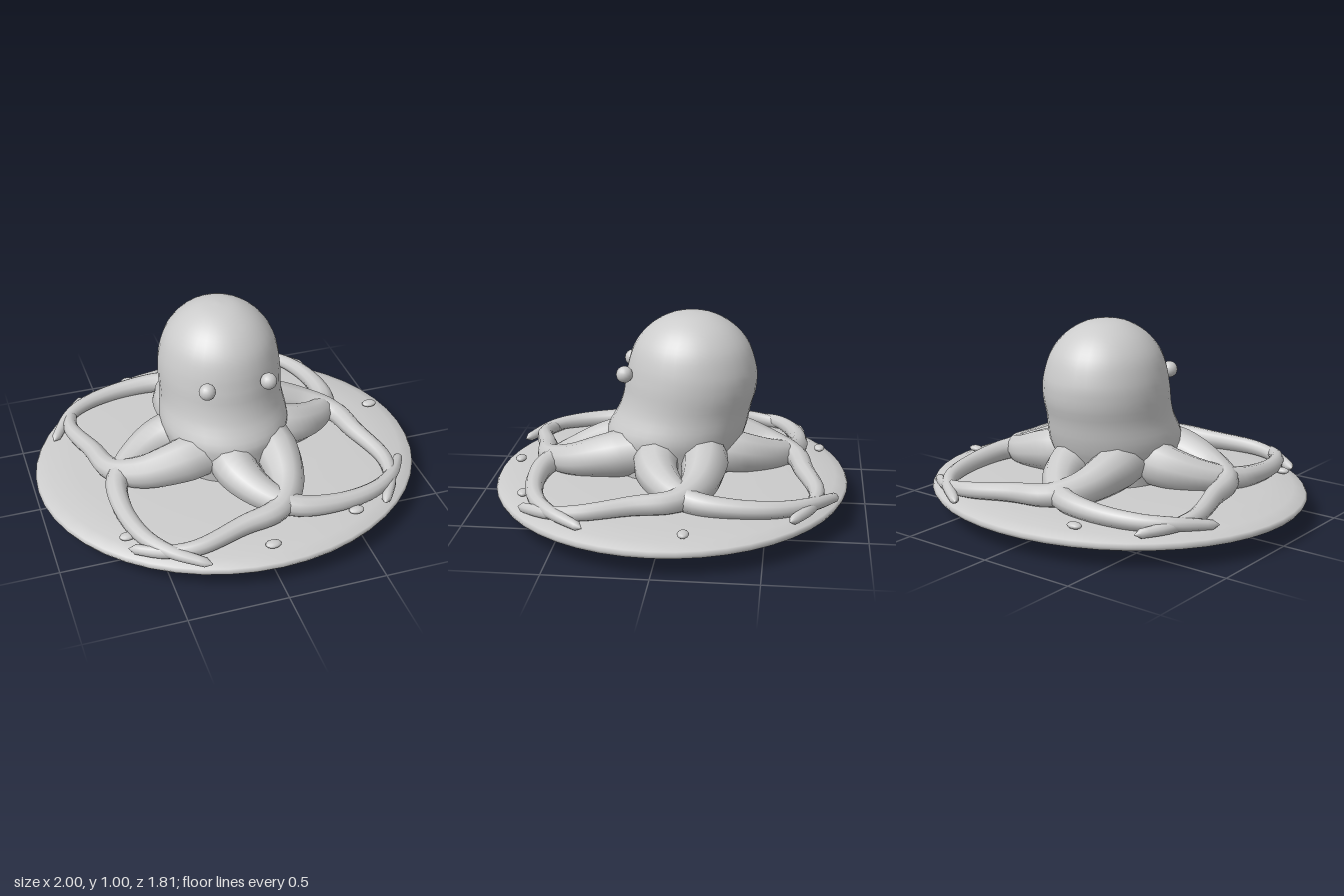
import * as THREE from 'three';
import { mergeVertices } from 'three/addons/utils/BufferGeometryUtils.js';

const material = new THREE.MeshStandardMaterial({ color: 0xcccccc });

function addMesh(parent, name, geometry) {
  const mesh = new THREE.Mesh(geometry, material);
  mesh.name = name;
  parent.add(mesh);
  return mesh;
}

// Linear interpolation in a list of evenly spaced values
function sample(values, t) {
  const f = Math.min(Math.max(t, 0), 1) * (values.length - 1);
  const i = Math.min(Math.floor(f), values.length - 2);
  return THREE.MathUtils.lerp(values[i], values[i + 1], f - i);
}

// Tube along a curve whose radius follows a list of values
function taperedTube(points, radii) {
  const curve = new THREE.CatmullRomCurve3(points.map((p) => new THREE.Vector3(...p)));
  const rings = 40, sides = 10;
  const geometry = new THREE.TubeGeometry(curve, rings, 1, sides);
  const pos = geometry.attributes.position;
  const v = new THREE.Vector3();
  for (let i = 0; i <= rings; i++) {
    const centre = curve.getPointAt(i / rings);
    // The last ring closes the tip
    const r = i === rings ? 0.001 : sample(radii, i / rings);
    for (let j = 0; j <= sides; j++) {
      const k = i * (sides + 1) + j;
      v.fromBufferAttribute(pos, k).sub(centre).multiplyScalar(r).add(centre);
      pos.setXYZ(k, v.x, v.y, v.z);
    }
  }
  return smooth(geometry);
}

function smooth(geometry) {
  geometry.deleteAttribute('uv');
  geometry.deleteAttribute('normal');
  const merged = mergeVertices(geometry, 1e-4);
  merged.computeVertexNormals();
  return merged;
}

const toProfile = (list) => list.map(([r, y]) => new THREE.Vector2(r, y));

export function createModel() {
  const model = new THREE.Group();
  model.name = 'octopusOnPlate';

  // Oval plate: shallow bowl below, gently domed on top
  const plate = addMesh(model, 'plate', new THREE.LatheGeometry(toProfile([
    [0, 0.005], [0.4, 0.018], [0.7, 0.042], [0.9, 0.072], [0.99, 0.105], [1, 0.122],
    [0.99, 0.138], [0.93, 0.16], [0.8, 0.177], [0.5, 0.19], [0, 0.195],
  ]), 48));
  plate.scale.z = 0.905;

  // Body: a bell whose upper part leans back
  const body = new THREE.LatheGeometry(new THREE.SplineCurve(toProfile([
    [0.29, 0.17], [0.31, 0.3], [0.33, 0.4], [0.313, 0.52], [0.313, 0.65], [0.3, 0.75],
    [0.265, 0.85], [0.195, 0.935], [0.1, 0.99], [0, 1.005],
  ])).getPoints(36), 32);
  const pos = body.attributes.position;
  const lean = [0, 0, -0.02, -0.06, -0.09, -0.1, -0.1, -0.1, -0.1]; // every 0.1 from y = 0.2
  for (let i = 0; i < pos.count; i++) {
    const z = pos.getZ(i) * 1.07 + sample(lean, (pos.getY(i) - 0.2) / 0.8);
    pos.setZ(i, z);
  }
  addMesh(model, 'body', smooth(body)).position.x = -0.005;

  // Eyes
  for (const x of [-0.163, 0.153]) {
    addMesh(model, 'eye', new THREE.SphereGeometry(0.042, 16, 12)).position.set(x, 0.71, 0.225);
  }

  // Four pairs of tentacles that join, part again and cross the next pair at the tips
  const radii = [0.12, 0.118, 0.1, 0.08, 0.058, 0.052, 0.046, 0.042, 0.036, 0.03, 0.022];
  const leftTentacle = taperedTube([
    [-0.02, 0.32, 0.14], [-0.05, 0.29, 0.32], [0.03, 0.25, 0.5], [0.16, 0.23, 0.62],
    [0.36, 0.215, 0.645], [0.58, 0.205, 0.6], [0.72, 0.2, 0.51], [0.85, 0.175, 0.33],
  ], radii);
  const rightTentacle = taperedTube([
    [0.17, 0.32, 0.14], [0.19, 0.29, 0.32], [0.16, 0.25, 0.5], [0.07, 0.235, 0.63],
    [-0.12, 0.225, 0.68], [-0.37, 0.205, 0.745], [-0.52, 0.19, 0.715], [-0.68, 0.175, 0.62],
  ], radii);
  for (let i = 0; i < 4; i++) {
    const pair = new THREE.Group();
    pair.name = 'tentaclePair';
    pair.rotation.y = (i * Math.PI) / 2;
    addMesh(pair, 'tentacle', leftTentacle);
    addMesh(pair, 'tentacle', rightTentacle);
    model.add(pair);
  }

  // Flat pebbles scattered on the plate
  const pebble = new THREE.SphereGeometry(0.04, 12, 8);
  for (const [x, z] of [[-0.34, -0.76], [0.88, -0.14], [-0.665, 0.54], [0.46, 0.69], [-0.015, 0.805]]) {
    const mesh = addMesh(model, 'pebble', pebble);
    mesh.position.set(x, 0.182, z);
    mesh.scale.set(1, 0.4, 0.7);
  }

  return model;
}
